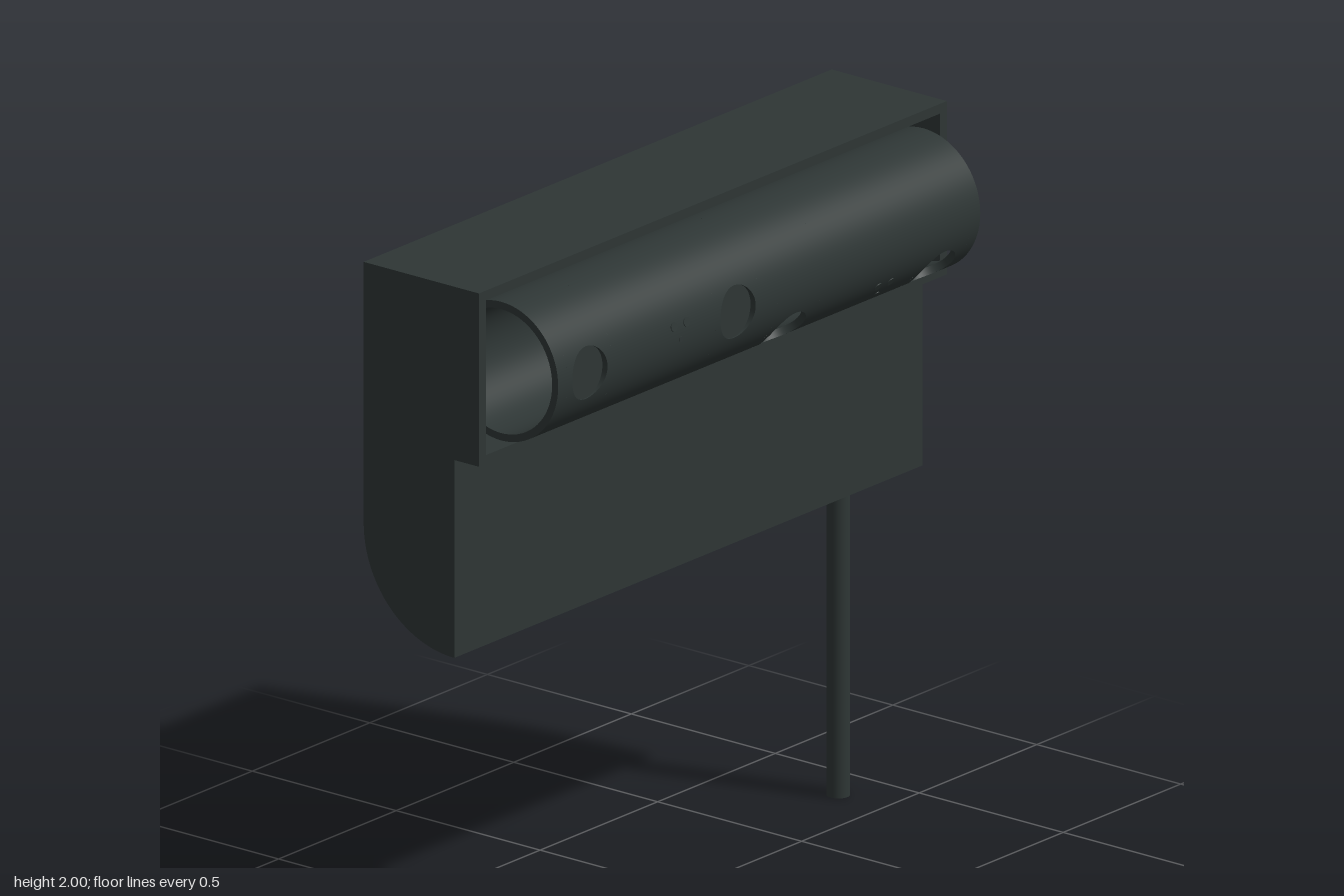
import * as THREE from 'three';
import { mergeGeometries } from 'three/addons/utils/BufferGeometryUtils.js';

const CY = 1.752, CZ = 0.1;            // tube axis
const R_OUT = 0.198, R_IN = 0.177;     // tube radii
const X0 = -0.9, X1 = 0.895;           // tube ends
const HOLE_R = 0.075;

const onTube = (x, a, r) => new THREE.Vector3(x, CY + r * Math.sin(a), CZ + r * Math.cos(a));

// grid surface from fn(u, v); flip reverses the facing; radial sets smooth tube normals
function sheet(fn, nu, nv, flip = false, radial = false) {
  const pos = [], idx = [], nor = [];
  const s = flip ? -1 : 1;
  for (let i = 0; i <= nu; i++) for (let j = 0; j <= nv; j++) {
    const p = fn(i / nu, j / nv);
    pos.push(p.x, p.y, p.z);
    const n = new THREE.Vector3(0, p.y - CY, p.z - CZ).normalize().multiplyScalar(s);
    nor.push(n.x, n.y, n.z);
  }
  for (let i = 0; i < nu; i++) for (let j = 0; j < nv; j++) {
    const a = i * (nv + 1) + j, b = a + nv + 1;
    if (flip) idx.push(a, b + 1, b, a, a + 1, b + 1);
    else idx.push(a, b, b + 1, a, b + 1, a + 1);
  }
  const g = new THREE.BufferGeometry();
  g.setAttribute('position', new THREE.Float32BufferAttribute(pos, 3));
  g.setAttribute('normal', new THREE.Float32BufferAttribute(nor, 3));
  g.setIndex(idx);
  if (!radial) g.computeVertexNormals();
  return g;
}

// hollow tube with round openings cut through its wall
function tubeGeometry(holes) {
  const parts = [], W = 0.095, H = 0.52, FULL = Math.PI * 2;
  const plain = (xa, xb, a0, a1, n) => {
    for (const [r, flip] of [[R_OUT, false], [R_IN, true]])
      parts.push(sheet((u, v) => onTube(xa + (xb - xa) * u, a0 + (a1 - a0) * v, r), 1, n, flip, true));
  };
  let x = X0;
  for (const { cx, angle } of holes) {
    plain(x, cx - W, 0, FULL, 72);
    plain(cx - W, cx + W, angle + H, angle + FULL - H, 60);
    const rim = (t, r) => onTube(cx + HOLE_R * Math.cos(t), angle + Math.asin(HOLE_R * Math.sin(t) / r), r);
    // patch running from the round rim to a rectangular border
    for (const [r, flip] of [[R_OUT, false], [R_IN, true]])
      parts.push(sheet((u, v) => {
        const t = v * FULL, c = Math.cos(t), s = Math.sin(t), k = 1 / Math.max(Math.abs(c), Math.abs(s));
        const px = HOLE_R * c * (1 - u) + W * k * c * u;
        const pa = Math.asin(HOLE_R * s / r) * (1 - u) + H * k * s * u;
        return onTube(cx + px, angle + pa, r);
      }, 5, 48, flip, true));
    parts.push(sheet((u, v) => rim(v * FULL, R_OUT + (R_IN - R_OUT) * u), 1, 48, true));
    x = cx + W;
  }
  plain(x, X1, 0, FULL, 72);
  for (const [ex, flip] of [[X0, false], [X1, true]])
    parts.push(sheet((u, v) => onTube(ex, v * FULL, R_IN + (R_OUT - R_IN) * u), 1, 72, flip));
  return mergeGeometries(parts);
}

function rectPath(target, w, y0, y1) {
  target.moveTo(-w, y0); target.lineTo(w, y0); target.lineTo(w, y1); target.lineTo(-w, y1);
  target.closePath();
  return target;
}

function roundedRect(w, y0, y1, r) {
  const s = new THREE.Shape();
  s.absarc(w - r, y0 + r, r, -Math.PI / 2, 0);
  s.absarc(w - r, y1 - r, r, 0, Math.PI / 2);
  s.absarc(-w + r, y1 - r, r, Math.PI / 2, Math.PI);
  s.absarc(-w + r, y0 + r, r, Math.PI, Math.PI * 1.5);
  return s;
}

export function createModel() {
  const model = new THREE.Group();
  const charcoal = new THREE.MeshStandardMaterial({ color: 0x2e3635 });
  charcoal.name = 'charcoal';
  const add = (name, geometry, x = 0, y = 0, z = 0) => {
    const m = new THREE.Mesh(geometry, charcoal);
    m.name = name;
    m.position.set(x, y, z);
    model.add(m);
    return m;
  };
  const HALF = 0.995, BACK = -0.3, CAVITY = -0.12;

  // lower housing: side profile with a rounded lower back edge, extruded along x
  const side = new THREE.Shape();
  side.moveTo(-0.015, 1.505);
  side.lineTo(-0.015, 0.94);
  side.absarc(-0.015, 1.255, 0.315, -Math.PI / 2, 0);
  side.lineTo(0.3, 1.505);
  side.closePath();
  const lower = new THREE.ExtrudeGeometry(side, { depth: HALF * 2, bevelEnabled: false, curveSegments: 32 });
  lower.rotateY(Math.PI / 2);   // profile x becomes -z
  add('lowerHousing', lower, -HALF);

  // upper housing: solid back and an open rectangular frame
  add('upperBack', new THREE.BoxGeometry(HALF * 2, 0.495, CAVITY - BACK), 0, 1.7525, (CAVITY + BACK) / 2);
  const frame = rectPath(new THREE.Shape(), HALF, 1.505, 2);
  frame.holes.push(rectPath(new THREE.Path(), 0.965, 1.53, 1.972));
  add('upperFrame', new THREE.ExtrudeGeometry(frame, { depth: 0.1 - CAVITY, bevelEnabled: false }), 0, 0, CAVITY);
  add('recessPlate', new THREE.ExtrudeGeometry(roundedRect(0.96, 1.565, 1.94, 0.06),
    { depth: 0.015, bevelEnabled: false }), 0, 0, CAVITY);

  // sensor tube with two forward and two downward openings
  const down = -Math.PI / 4;
  add('sensorTube', tubeGeometry([
    { cx: -0.765, angle: 0 }, { cx: -0.135, angle: 0 },
    { cx: 0.13, angle: down }, { cx: 0.765, angle: down },
  ]));

  // flat lenses set into the forward openings
  for (const x of [-0.765, -0.135]) {
    const lens = new THREE.CylinderGeometry(HOLE_R, HOLE_R, 0.022, 48);
    lens.rotateX(Math.PI / 2);
    add('lens', lens, x, CY, 0.269);
  }

  // triangles of small indicator dots
  for (const [cx, base] of [[-0.378, 0.08], [0.525, down + 0.12]]) {
    for (const [dx, da, r] of [[-0.027, 0.09, 0.013], [0.027, 0.09, 0.013], [0, -0.12, 0.008]]) {
      const a = base + da;
      const dot = new THREE.CylinderGeometry(r, r, 0.006, 20);
      dot.rotateX(Math.PI / 2 - a);
      const p = onTube(cx + dx, a, R_OUT - 0.001);
      add('indicatorDot', dot, p.x, p.y, p.z);
    }
  }

  // cable and its strain relief
  add('cableGland', new THREE.BoxGeometry(0.147, 0.21, 0.08), 0.852, 0.975, -0.16);
  add('cable', new THREE.CylinderGeometry(0.032, 0.032, 0.9, 32), 0.852, 0.45, -0.16);
  return model;
}
